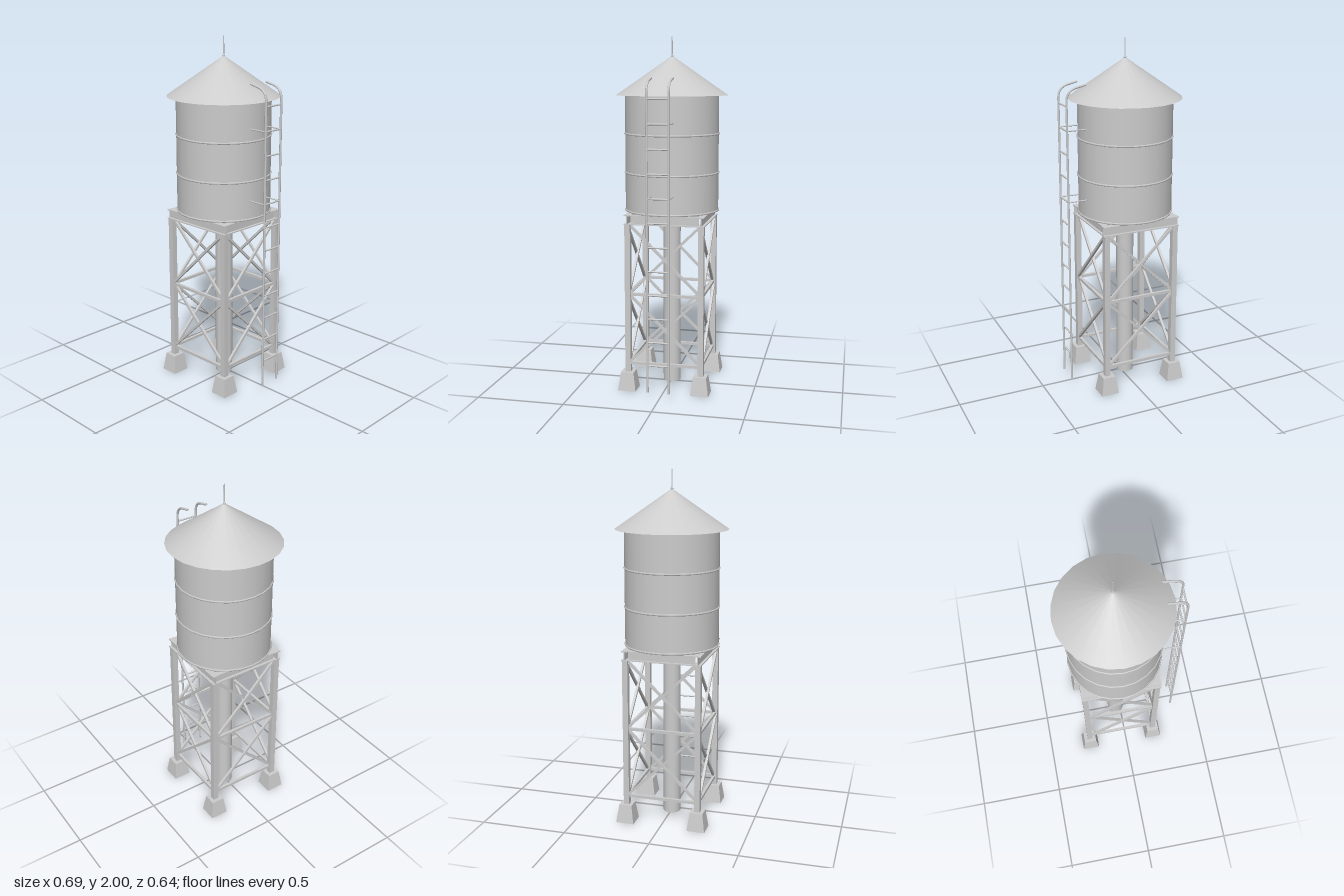
import * as THREE from 'three';

const grey = new THREE.MeshStandardMaterial({ color: 0xcccccc });
const greyDouble = new THREE.MeshStandardMaterial({ color: 0xcccccc, side: THREE.DoubleSide });
const CX = -0.03; // tower axis
const LEG = 0.21; // leg offset from the axis
const UP = new THREE.Vector3(0, 1, 0);

function add(parent, name, geometry, x = 0, y = 0, z = 0, material = grey) {
  const mesh = new THREE.Mesh(geometry, material);
  mesh.name = name;
  mesh.position.set(x, y, z);
  parent.add(mesh);
  return mesh;
}

// Straight bar between two points, round or square
function bar(parent, name, a, b, size, round = false) {
  const from = new THREE.Vector3(...a), to = new THREE.Vector3(...b);
  const dir = to.clone().sub(from), len = dir.length();
  const geo = round ? new THREE.CylinderGeometry(size, size, len, 8) : new THREE.BoxGeometry(size, len, size);
  const mesh = add(parent, name, geo);
  mesh.position.copy(from).add(to).multiplyScalar(0.5);
  mesh.quaternion.setFromUnitVectors(UP, dir.normalize());
  return mesh;
}

// I-section beam lying along x, centred on its own origin
function iBeam(name, length, width, height) {
  const beam = new THREE.Group();
  beam.name = name;
  const t = 0.006;
  for (const s of [-1, 1]) add(beam, 'flange', new THREE.BoxGeometry(length, t, width), 0, s * (height - t) / 2, 0);
  add(beam, 'web', new THREE.BoxGeometry(length, height - t, t));
  return beam;
}

function buildTank(tower) {
  const tank = new THREE.Group();
  tank.name = 'tank';
  add(tank, 'tankBody', new THREE.CylinderGeometry(0.267, 0.267, 0.655, 24), 0, 1.3475, 0);
  for (const y of [1.025, 1.24, 1.46]) {
    const hoop = add(tank, 'hoop', new THREE.TorusGeometry(0.267, 0.006, 6, 24), 0, y, 0);
    hoop.rotation.x = Math.PI / 2;
  }
  add(tank, 'roof', new THREE.ConeGeometry(0.318, 0.22, 24), 0, 1.785, 0);
  add(tank, 'finialBase', new THREE.SphereGeometry(0.008, 10, 8), 0, 1.894, 0);
  add(tank, 'finial', new THREE.CylinderGeometry(0.003, 0.004, 0.11, 8), 0, 1.945, 0);
  tower.add(tank);
}

function buildPlatform(tower) {
  const platform = new THREE.Group();
  platform.name = 'platform';
  const y = 0.988;
  for (const s of [-1, 1]) {
    const side = iBeam('sideBeam', 0.462, 0.036, 0.056);
    side.position.set(0, y, s * LEG);
    const end = iBeam('endBeam', 2 * LEG - 0.036, 0.036, 0.056);
    end.position.set(s * LEG, y, 0);
    end.rotation.y = Math.PI / 2;
    platform.add(side, end);
  }
  // Joists under the tank floor
  for (let i = -2; i <= 2; i++) {
    const joist = iBeam('joist', 2 * LEG, 0.028, 0.05);
    joist.position.set(0, y + 0.003, i * 0.07);
    platform.add(joist);
  }
  tower.add(platform);
}

function buildFrame(tower) {
  const frame = new THREE.Group();
  frame.name = 'frame';
  // Tapered footing, open underneath
  const footing = new THREE.CylinderGeometry(0.037 * Math.SQRT2, 0.052 * Math.SQRT2, 0.105, 4, 1, true)
    .rotateY(Math.PI / 4).toNonIndexed();
  footing.computeVertexNormals();
  const footingTop = new THREE.PlaneGeometry(0.074, 0.074).rotateX(-Math.PI / 2);
  for (const sx of [-1, 1]) for (const sz of [-1, 1]) {
    add(frame, 'footing', footing, sx * LEG, 0.0525, sz * LEG, greyDouble);
    add(frame, 'footingTop', footingTop, sx * LEG, 0.105, sz * LEG, greyDouble);
    add(frame, 'leg', new THREE.BoxGeometry(0.032, 0.86, 0.032), sx * LEG, 0.53, sz * LEG);
  }
  // Braces of one side, repeated round the tower
  const w = LEG - 0.012;
  for (let i = 0; i < 4; i++) {
    const side = new THREE.Group();
    side.name = 'braces';
    side.rotation.y = i * Math.PI / 2;
    for (const y of [0.155, 0.56]) bar(side, 'crossBar', [-w, y, LEG], [w, y, LEG], 0.016);
    for (const [low, high] of [[0.165, 0.55], [0.57, 0.955]]) {
      bar(side, 'diagonal', [-w, low, LEG + 0.005], [w, high, LEG + 0.005], 0.014);
      bar(side, 'diagonal', [w, low, LEG - 0.005], [-w, high, LEG - 0.005], 0.014);
    }
    frame.add(side);
  }
  add(frame, 'centralPipe', new THREE.CylinderGeometry(0.05, 0.05, 1.02, 24), 0, 0.51, 0);
  tower.add(frame);
}

function buildLadder(model) {
  const ladder = new THREE.Group();
  ladder.name = 'ladder';
  const x = 0.339, r = 0.0065;
  for (const z of [-0.06, 0.06]) {
    // Rail bending over the roof edge
    const path = new THREE.CurvePath();
    const v = (px, py) => new THREE.Vector3(px, py, z);
    path.add(new THREE.LineCurve3(v(x, 0.045), v(x, 1.69)));
    path.add(new THREE.CubicBezierCurve3(v(x, 1.69), v(x, 1.735), v(0.315, 1.752), v(0.285, 1.76)));
    path.add(new THREE.LineCurve3(v(0.285, 1.76), v(0.23, 1.772)));
    add(ladder, 'rail', new THREE.TubeGeometry(path, 120, r, 8), 0, 0, 0, greyDouble);
    for (const y of [1.13, 1.53]) bar(ladder, 'wallBracket', [0.225, y, z], [x, y, z], 0.004, true);
  }
  for (let i = 0; i < 12; i++) {
    const y = 0.2 + i * 0.133;
    bar(ladder, 'rung', [x, y, -0.06], [x, y, 0.06], 0.005, true);
  }
  model.add(ladder);
}

export function createModel() {
  const model = new THREE.Group();
  model.name = 'waterTower';
  const tower = new THREE.Group();
  tower.name = 'tower';
  tower.position.x = CX;
  buildTank(tower);
  buildPlatform(tower);
  buildFrame(tower);
  model.add(tower);
  buildLadder(model);
  return model;
}
